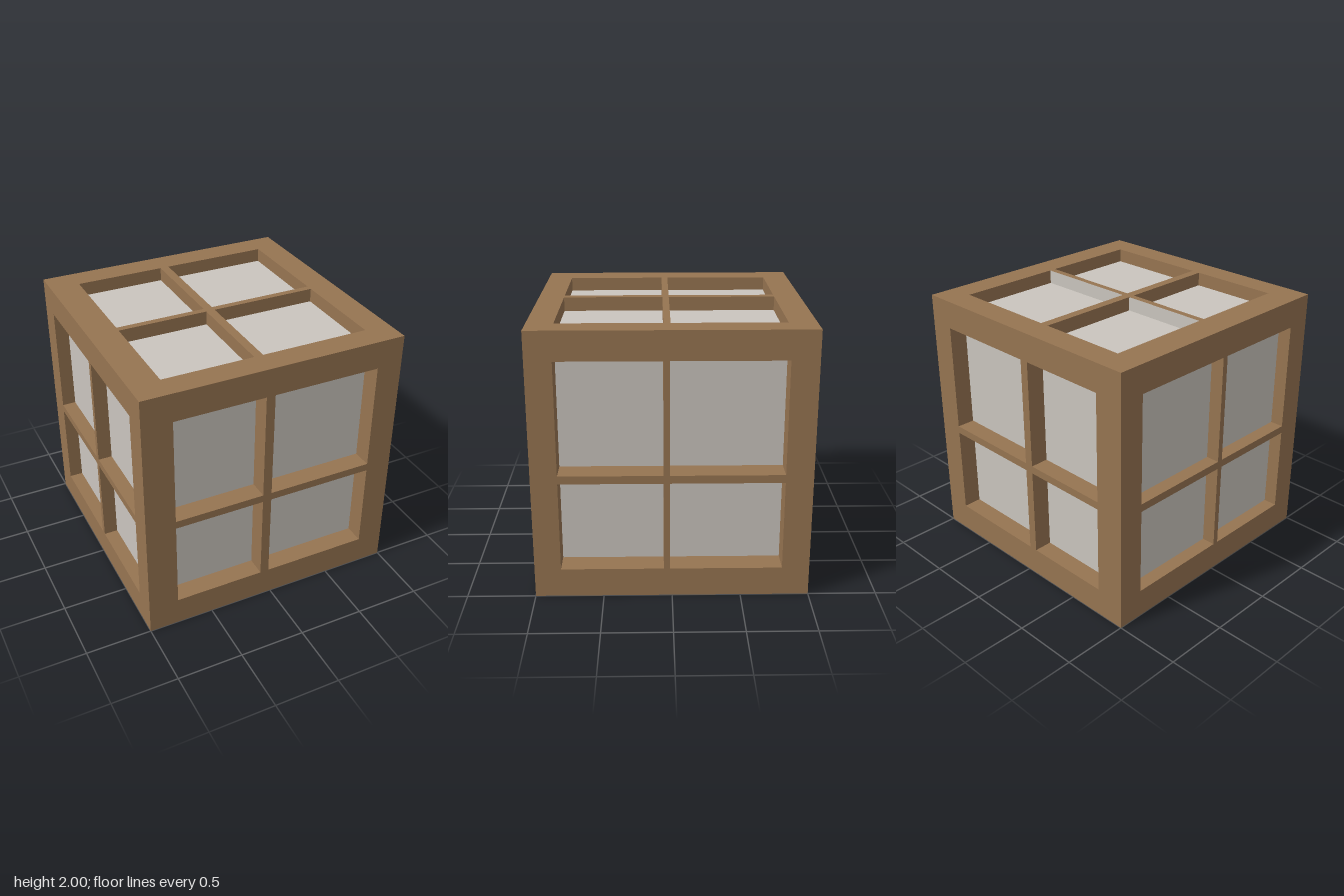
import * as THREE from 'three';

export function createModel() {
  const root = new THREE.Group();
  root.name = 'panelledCrate';
  const wood = new THREE.MeshStandardMaterial({ color: 0x967451 });
  wood.name = 'brown wood';
  const panel = new THREE.MeshStandardMaterial({ color: 0xcac5be });
  panel.name = 'pale grey panel';

  // box given by its [min, max] range on each axis
  const box = (parent, name, x, y, z, material = wood) => {
    const r = [x, y, z];
    const mesh = new THREE.Mesh(new THREE.BoxGeometry(...r.map(([a, b]) => b - a)), material);
    mesh.position.set(...r.map(([a, b]) => (a + b) / 2));
    mesh.name = name;
    parent.add(mesh);
    return mesh;
  };
  const group = (name) => {
    const g = new THREE.Group();
    g.name = name;
    root.add(g);
    return g;
  };

  // openings and inner core, as ranges per axis
  const X = [-0.774, 0.8], Y = [0.217, 1.786], Z = [-0.801, 0.808];
  const core = { x: [-0.895, 0.815], y: [0.145, 1.895], z: [-0.86, 0.85] };
  box(root, 'innerPanels', core.x, core.y, core.z, panel);

  // twelve edge beams
  const frame = group('frame');
  const xs = [[-1, X[0]], [X[1], 1]], ys = [[0, Y[0]], [Y[1], 2]], zs = [[-1, Z[0]], [Z[1], 1]];
  for (const i of [0, 1]) for (const j of [0, 1]) {
    box(frame, 'crossBeam', [-1, 1], ys[i], zs[j]);
    box(frame, 'cornerPost', xs[i], Y, zs[j]);
    box(frame, 'sideBeam', xs[i], ys[j], Z);
  }

  // bar positions
  const barX = [-0.088, -0.02];
  const halves = [[X[0], barX[0]], [barX[1], X[1]]];

  // front and back lattice
  for (const [name, z] of [['frontLattice', [core.z[1], 1]], ['backLattice', [-1, core.z[0]]]]) {
    const g = group(name);
    box(g, 'uprightBar', barX, Y, z);
    for (const h of halves) box(g, 'crossBar', h, [0.898, 0.957], z);
  }

  // left and right lattice
  const sideZ = [0.016, 0.06];
  for (const [name, x] of [['leftLattice', [core.x[1], 1]], ['rightLattice', [-1, core.x[0]]]]) {
    const g = group(name);
    box(g, 'uprightBar', x, Y, sideZ);
    for (const h of [[Z[0], sideZ[0]], [sideZ[1], Z[1]]]) box(g, 'crossBar', x, [0.89, 0.95], h);
  }

  // top and bottom lattice; the top cross bar has a grey rear face
  const greyBacked = [wood, wood, wood, wood, wood, panel];
  for (const [name, y, mat] of [['topLattice', [core.y[1], 2], greyBacked], ['bottomLattice', [0, core.y[0]], wood]]) {
    const g = group(name);
    box(g, 'longBar', barX, y, Z);
    for (const h of halves) box(g, 'crossBar', h, y, [0.008, 0.057], mat);
  }
  return root;
}
